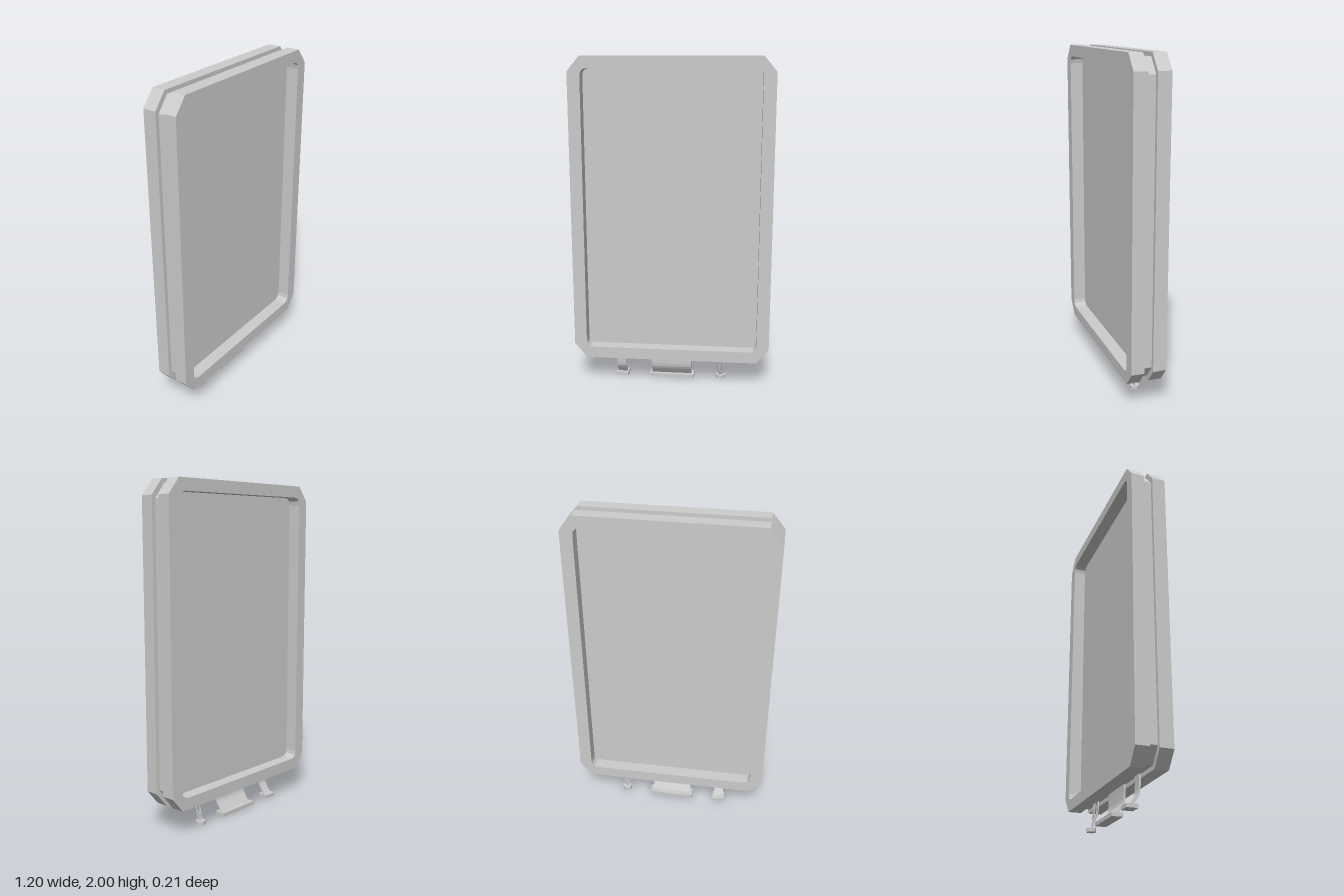
import * as THREE from 'three';

const material = new THREE.MeshStandardMaterial({ color: 0xcccccc, side: THREE.DoubleSide });
const MID_Y = 1.08;

// Rectangle outline with cut corners; bulge > 0 rounds each cut with an extra curve
function cutRect(Target, hw, hh, cx, cy, rounded = false) {
  const s = new Target();
  const corner = (x, y, px, py) => (rounded ? s.quadraticCurveTo(px, py, x, y) : s.lineTo(x, y));
  s.moveTo(-hw + cx, -hh);
  s.lineTo(hw - cx, -hh);
  corner(hw, -hh + cy, hw, -hh);
  s.lineTo(hw, hh - cy);
  corner(hw - cx, hh, hw, hh);
  s.lineTo(-hw + cx, hh);
  corner(-hw, hh - cy, -hw, hh);
  s.lineTo(-hw, -hh + cy);
  corner(-hw + cx, -hh, -hw, -hh);
  return s;
}

function addMesh(parent, name, geometry, x = 0, y = 0, z = 0) {
  const mesh = new THREE.Mesh(geometry, material);
  mesh.name = name;
  mesh.position.set(x, y, z);
  parent.add(mesh);
  return mesh;
}

const extrude = (shape, depth) =>
  new THREE.ExtrudeGeometry(shape, { depth, bevelEnabled: false, curveSegments: 3 });

// Flat ribbon: a thin S-shaped side profile (z, y) swept across its width
function ribbonGeometry(width) {
  const t = 0.005;
  const path = new THREE.CatmullRomCurve3([
    [0.018, 0.2], [0.018, 0.13], [0.013, 0.08], [-0.008, 0.045], [-0.026, 0.02],
  ].map(([z, y]) => new THREE.Vector3(z, y, 0)));
  const front = [], back = [];
  for (let i = 0; i <= 10; i++) {
    const p = path.getPoint(i / 10), d = path.getTangent(i / 10);
    front.push(new THREE.Vector2(p.x - d.y * t, p.y + d.x * t));
    back.unshift(new THREE.Vector2(p.x + d.y * t, p.y - d.x * t));
  }
  const geometry = extrude(new THREE.Shape([...front, ...back]), width);
  geometry.translate(0, 0, -width / 2);
  geometry.rotateY(-Math.PI / 2); // profile x becomes z
  return geometry;
}

export function createModel() {
  const group = new THREE.Group();
  group.name = 'displayPanel';

  // Two matching frames around a recessed core
  const frame = cutRect(THREE.Shape, 0.6, 0.92, 0.075, 0.09);
  frame.holes.push(cutRect(THREE.Path, 0.525, 0.85, 0.045, 0.045, true));
  addMesh(group, 'frontFrame', extrude(frame, 0.079), 0, MID_Y, 0.026);
  addMesh(group, 'backFrame', extrude(frame, 0.079), 0, MID_Y, -0.105);

  const core = cutRect(THREE.Shape, 0.577, 0.897, 0.07, 0.085);
  addMesh(group, 'screenCore', extrude(core, 0.056), 0, MID_Y, -0.029);

  // Ribbon cables ending in flat connectors
  for (const [name, x, width, plug] of [
    ['narrow', -0.32, 0.06, 0.078],
    ['wide', -0.003, 0.25, 0.28],
  ]) {
    addMesh(group, name + 'Ribbon', ribbonGeometry(width), x);
    addMesh(group, name + 'Connector', new THREE.BoxGeometry(plug, 0.022, 0.066), x, 0.011, -0.029);
  }

  // Loose wires gathered into a small round connector
  const wires = new THREE.Group();
  wires.name = 'wireBundle';
  group.add(wires);
  for (let i = 0; i < 4; i++) {
    const side = i - 1.5;
    const curve = new THREE.CatmullRomCurve3([
      new THREE.Vector3(0.307 + side * 0.01, 0.2, 0.012 - (i % 2) * 0.018),
      new THREE.Vector3(0.305 + side * 0.014, 0.11, 0.004 - (i % 2) * 0.016),
      new THREE.Vector3(0.306 + side * 0.011, 0.06, -0.016),
      new THREE.Vector3(0.305 + side * 0.006, 0.015, -0.028),
    ]);
    addMesh(wires, 'wire', new THREE.TubeGeometry(curve, 12, 0.0035, 6));
  }
  addMesh(wires, 'wireConnector', new THREE.CylinderGeometry(0.028, 0.028, 0.022, 12), 0.305, 0.011, -0.029);

  return group;
}
